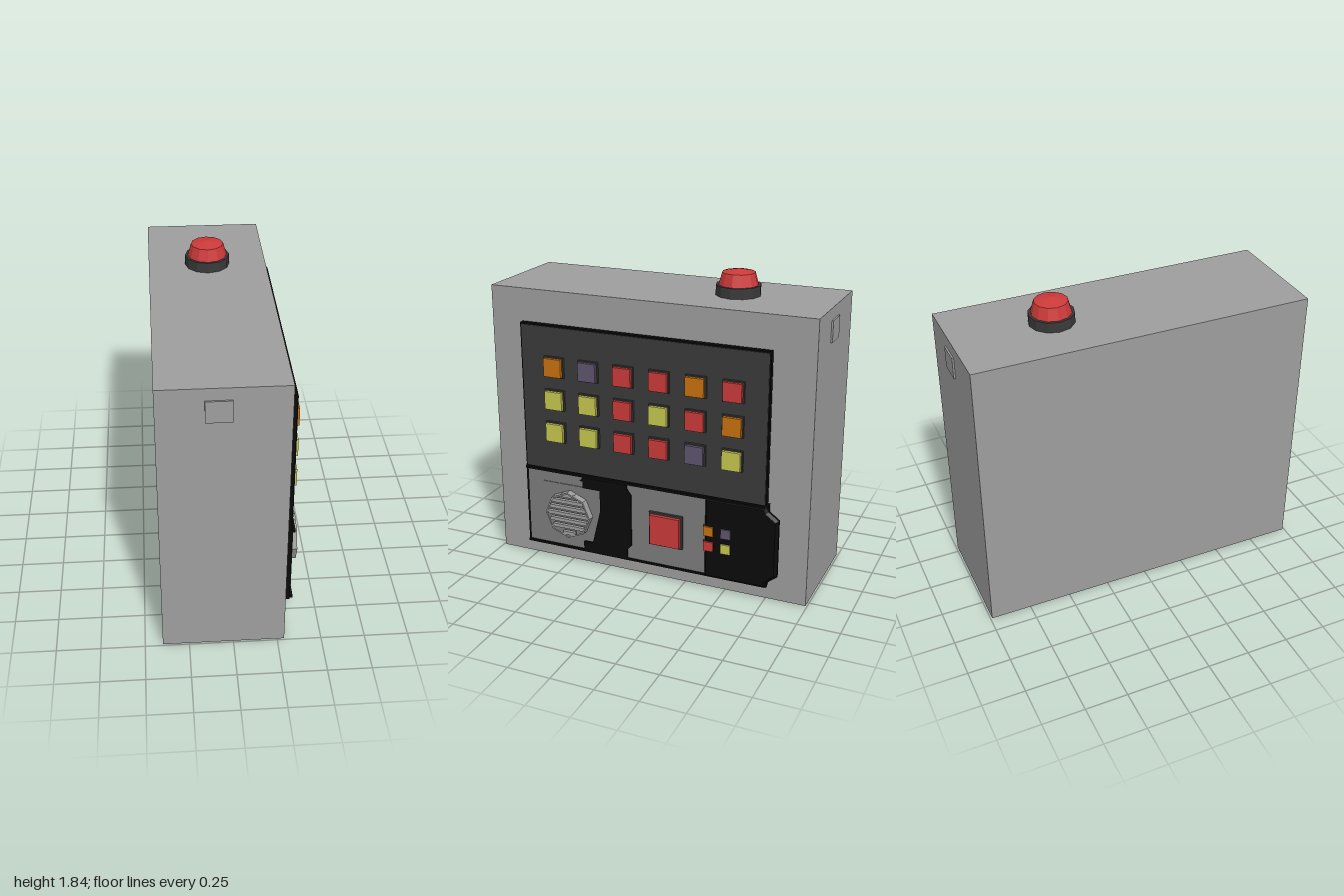
import * as THREE from 'three';

const mat = (name, color) => {
  const m = new THREE.MeshStandardMaterial({ color });
  m.name = name;
  return m;
};

export function createModel() {
  const model = new THREE.Group();
  model.name = 'controlConsole';
  const M = {
    cabinet: mat('cabinet grey', 0x9e9e9e),
    panel: mat('panel grey', 0x7d7d7d),
    char: mat('charcoal', 0x3a3a3a),
    black: mat('black', 0x0b0b0b),
    R: mat('red', 0xcc3a3a),
    O: mat('orange', 0xc8720e),
    Y: mat('yellow', 0xc6c850),
    P: mat('violet grey', 0x5f5670),
  };

  const add = (name, geo, material, parent = model) => {
    const mesh = new THREE.Mesh(geo, material);
    mesh.name = name;
    parent.add(mesh);
    return mesh;
  };
  // Box given by its limits on each axis
  const box = (name, material, [x0, x1], [y0, y1], [z0, z1], parent) => {
    const m = add(name, new THREE.BoxGeometry(x1 - x0, y1 - y0, z1 - z0), material, parent);
    m.position.set((x0 + x1) / 2, (y0 + y1) / 2, (z0 + z1) / 2);
    return m;
  };
  // Outline in (z, y), extruded towards +x with an optional chamfer
  const toShape = (pts) => new THREE.Shape(pts.map(([z, y]) => new THREE.Vector2(-z, y)));
  const slab = (name, material, shape, x0, x1, bevel = 0, parent) => {
    const geo = new THREE.ExtrudeGeometry(shape, {
      depth: x1 - x0 - bevel * 2, bevelEnabled: bevel > 0, bevelSegments: 1,
      bevelSize: bevel, bevelThickness: bevel, bevelOffset: -bevel,
    });
    geo.rotateY(Math.PI / 2);
    const m = add(name, geo, material, parent);
    m.position.x = x0 + bevel;
    return m;
  };
  const faceted = (geo) => {
    const g = geo.toNonIndexed();
    g.computeVertexNormals();
    return g;
  };

  // Cabinet with a small plate on each end
  box('cabinet', M.cabinet, [-0.4, 0.29], [0, 1.69], [-0.99, 0.99]);
  box('frontEndPlate', M.cabinet, [-0.15, -0.01], [1.495, 1.62], [0.985, 1]);
  box('backEndPlate', M.cabinet, [-0.1, 0.04], [1.495, 1.62], [-1, -0.985]);

  // Warning lamp
  const lamp = new THREE.Group();
  lamp.name = 'warningLamp';
  lamp.position.set(-0.055, 0, -0.42);
  model.add(lamp);
  const round = (name, material, rTop, rBottom, y0, y1) => {
    const m = add(name, faceted(new THREE.CylinderGeometry(rTop, rBottom, y1 - y0, 12)), material, lamp);
    m.position.y = (y0 + y1) / 2;
  };
  round('lampBase', M.char, 0.13, 0.13, 1.69, 1.75);
  round('lampLens', M.R, 0.095, 0.115, 1.75, 1.82);
  const cap = add('lampCap', faceted(new THREE.ConeGeometry(0.095, 0.02, 12)), M.R, lamp);
  cap.position.y = 1.83;

  // Upper button panel with a black edge
  box('upperPanelEdge', M.black, [0.31, 0.341], [0.6, 1.5], [-0.753, 0.777]);
  box('upperPanel', M.char, [0.335, 0.345], [0.61, 1.49], [-0.745, 0.768]);

  // A button is a coloured cap on a slightly larger dark base
  const button = (name, color, z, y, size, x0, x1) => {
    const g = new THREE.Group();
    g.name = name;
    model.add(g);
    const s = size / 2, c = s - size * 0.06, xm = x0 + (x1 - x0) * 0.45;
    box('buttonBase', M.char, [x0, xm], [y - s, y + s], [z - s, z + s], g);
    box('buttonCap', M[color], [xm, x1], [y - c, y + c], [z - c, z + c], g);
  };
  ['OPRROR', 'YYRYRO', 'YYRRPY'].forEach((row, j) => {
    [...row].forEach((color, i) => {
      button('panelButton', color, 0.557 - i * 0.2213, 1.255 - j * 0.201, 0.125, 0.345, 0.38);
    });
  });

  // Lower panel: black tray, grey plates and chamfered black blocks
  box('lowerTray', M.black, [0.31, 0.345], [0.1, 0.61], [-0.765, 0.777]);
  box('lowerTrayTopLip', M.black, [0.345, 0.362], [0.592, 0.606], [-0.75, 0.772]);
  box('lowerTrayBottomLip', M.black, [0.345, 0.362], [0.104, 0.118], [-0.765, 0.772]);
  box('speakerPlate', M.panel, [0.34, 0.35], [0.118, 0.592], [0.3, 0.76]);
  box('speakerInset', M.panel, [0.345, 0.355], [0.2, 0.525], [0.272, 0.655]);
  box('centrePlate', M.panel, [0.34, 0.355], [0.118, 0.592], [-0.42, 0.1]);
  slab('middleBlock', M.black, toShape([
    [0.407, 0.568], [0.386, 0.592], [0.097, 0.592], [0.097, 0.568], [0.07, 0.53], [0.07, 0.204],
    [0.097, 0.172], [0.097, 0.118], [0.386, 0.118], [0.386, 0.172], [0.327, 0.172],
    [0.273, 0.391], [0.273, 0.525], [0.386, 0.525], [0.386, 0.568],
  ]), 0.335, 0.365);
  slab('endBlock', M.black, toShape([
    [-0.39, 0.606], [-0.755, 0.606], [-0.77, 0.575], [-0.832, 0.53], [-0.832, 0.18],
    [-0.77, 0.13], [-0.77, 0.1], [-0.39, 0.1],
  ]), 0.318, 0.366, 0.016);

  // Large button and four small keys
  button('largeButton', 'R', -0.153, 0.35, 0.21, 0.352, 0.392);
  [['O', -0.42, 0.398], ['P', -0.525, 0.398], ['R', -0.42, 0.303], ['Y', -0.525, 0.303]]
    .forEach(([color, z, y]) => button('smallKey', color, z, y, 0.066, 0.355, 0.376));

  // Eight-sided speaker grille with horizontal slats
  const grille = new THREE.Group();
  grille.name = 'speakerGrille';
  grille.position.set(0, 0.343, 0.475);
  model.add(grille);
  const octagon = (r) => Array.from({ length: 8 }, (_, i) =>
    [r * Math.cos(i * Math.PI / 4), r * Math.sin(i * Math.PI / 4)]);
  const ring = toShape(octagon(0.148));
  ring.holes.push(new THREE.Path(octagon(0.138).map(([z, y]) => new THREE.Vector2(-z, y))));
  slab('grilleRing', M.cabinet, ring, 0.345, 0.4, 0, grille);
  const t = Math.tan(Math.PI / 8);
  for (let i = -3; i <= 3; i++) {
    const y = i * 0.041, a = Math.abs(y), r = 0.14;
    // Half width of the octagon at this height
    const w = Math.min(r - a * t, (r - a) / t);
    box('grilleSlat', M.cabinet, [0.37, 0.392], [y - 0.011, y + 0.011], [-w, w], grille);
  }

  return model;
}
